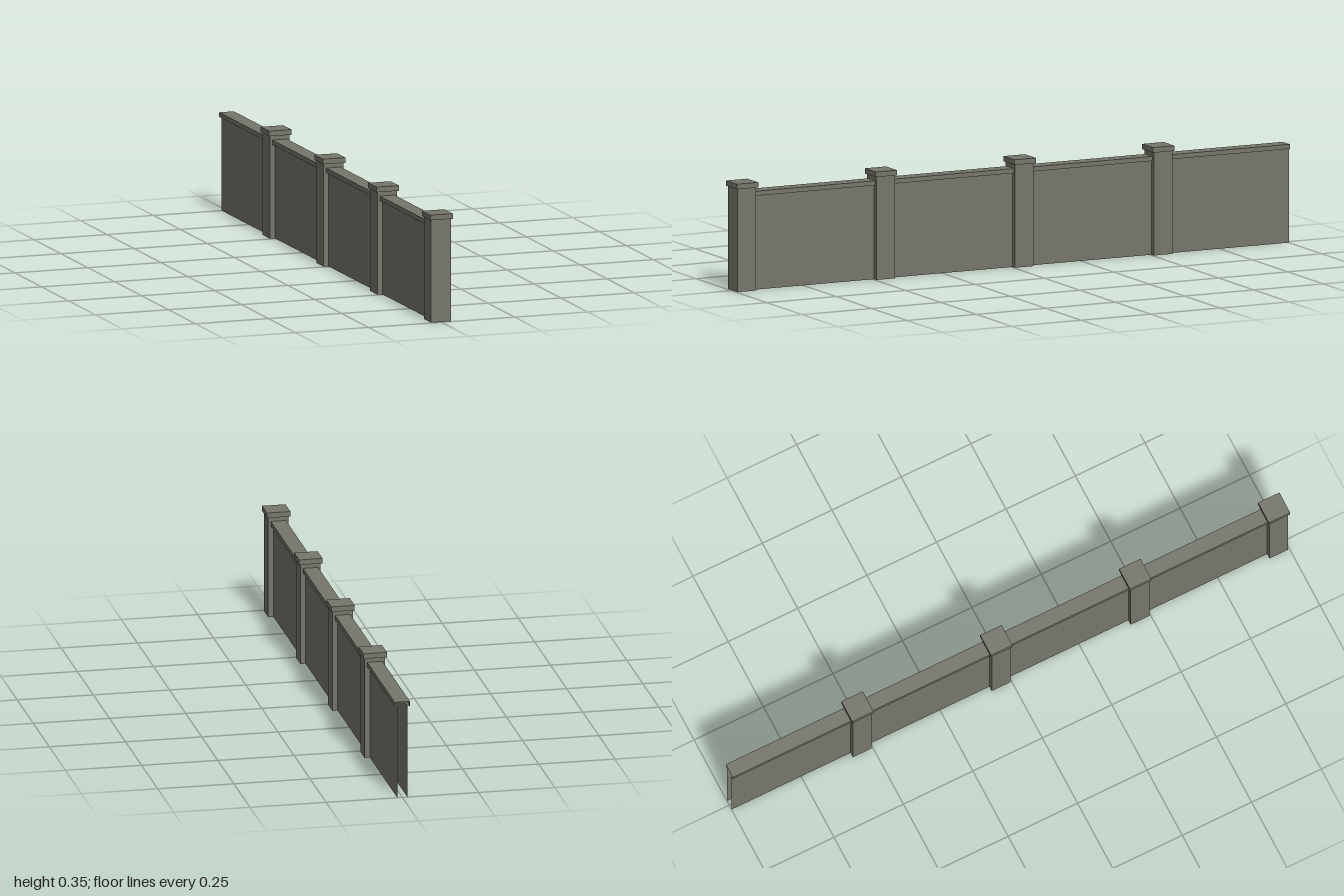
import * as THREE from 'three';

const SPACING = 0.5;
const FIRST_POST_Z = 0.9615;
const POST_HALF = 0.0335;
const CAP_HALF = 0.0385;

// Square hollow post with an overhanging cap, open underneath
function postGeometry() {
  const profile = [
    [POST_HALF, 0], [POST_HALF, 0.336],
    [CAP_HALF, 0.336], [CAP_HALF, 0.353], [0, 0.353],
  ].map(([r, y]) => new THREE.Vector2(r * Math.SQRT2, y));
  const geometry = new THREE.LatheGeometry(profile, 4).rotateY(Math.PI / 4).toNonIndexed();
  geometry.computeVertexNormals();
  return geometry;
}

// Open strip: a cross-section in x,y swept along z
function sweptStrip(profile, z0, z1) {
  const positions = [];
  for (let i = 0; i < profile.length - 1; i++) {
    const [ax, ay] = profile[i];
    const [bx, by] = profile[i + 1];
    positions.push(ax, ay, z0, ax, ay, z1, bx, by, z1);
    positions.push(ax, ay, z0, bx, by, z1, bx, by, z0);
  }
  const geometry = new THREE.BufferGeometry();
  geometry.setAttribute('position', new THREE.Float32BufferAttribute(positions, 3));
  geometry.computeVertexNormals();
  return geometry;
}

export function createModel() {
  const model = new THREE.Group();
  model.name = 'wall';
  const stone = new THREE.MeshStandardMaterial({ color: 0x77766b, side: THREE.DoubleSide });
  stone.name = 'greyStone';

  // Two thin panels under a wider coping, open at the ends and below
  const panel = 0.0165, coping = 0.025, lip = 0.307, top = 0.322;
  const wallProfile = [
    [-panel, 0], [-panel, lip], [-coping, lip], [-coping, top],
    [coping, top], [coping, lip], [panel, lip], [panel, 0],
  ];

  const post = postGeometry();
  for (let i = 0; i < 4; i++) {
    const z = FIRST_POST_Z - i * SPACING;
    const postMesh = new THREE.Mesh(post, stone);
    postMesh.name = `post${i + 1}`;
    postMesh.position.z = z;
    model.add(postMesh);

    // Wall section running back from this post to the next, or to the free end
    const end = i < 3 ? z - SPACING + POST_HALF : -1;
    const section = new THREE.Mesh(sweptStrip(wallProfile, end, z - POST_HALF), stone);
    section.name = `wallSection${i + 1}`;
    model.add(section);
  }
  return model;
}
